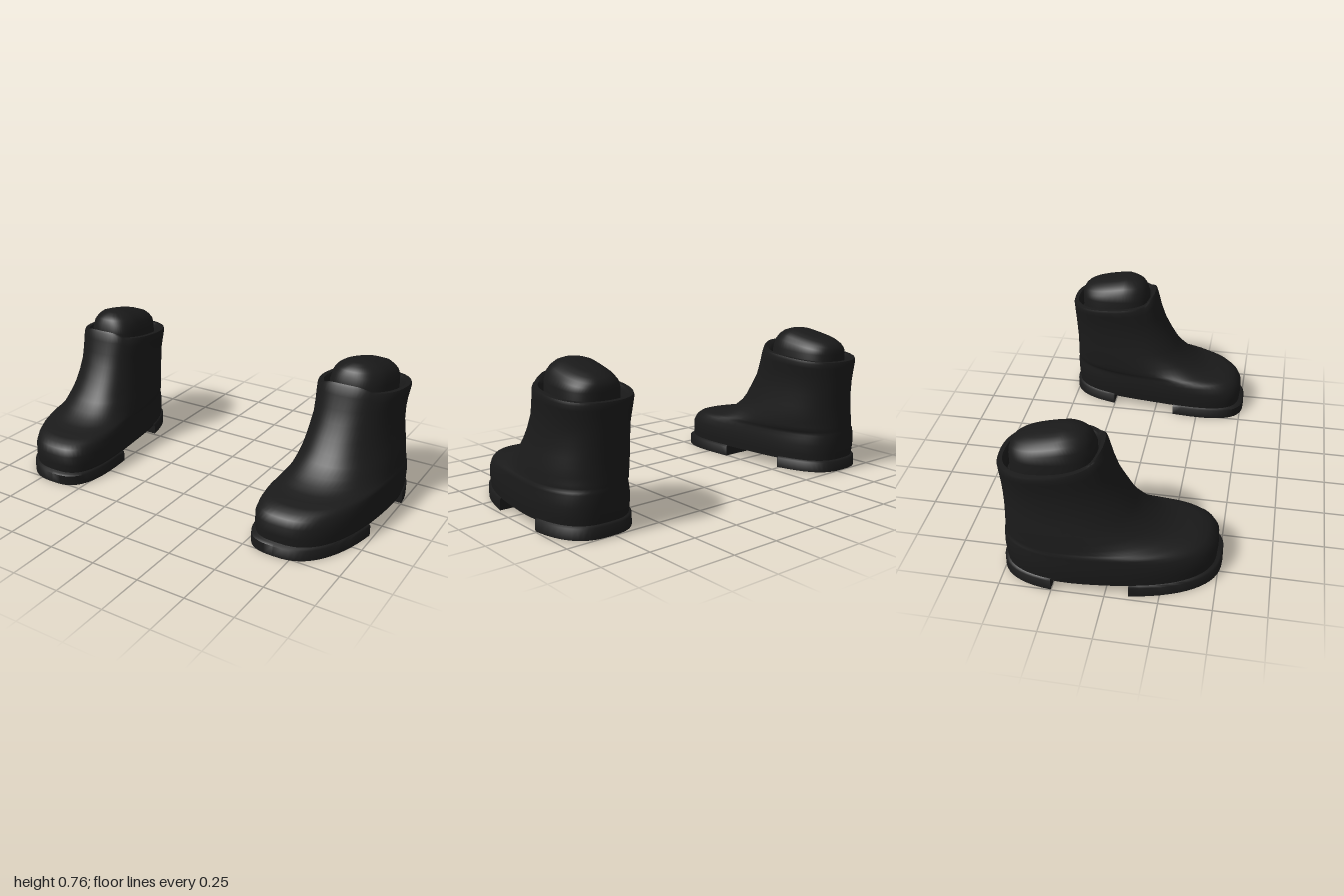
import * as THREE from 'three';
import { toCreasedNormals } from 'three/addons/utils/BufferGeometryUtils.js';

const SEG = 64;
const material = new THREE.MeshStandardMaterial({ color: 0x1a1a1a });

// Curved centre line of the foot, seen from above
const centreX = (z) => 0.75 - 0.11 * z - 0.1 * z * z;
const power = (v, n) => Math.sign(v) * Math.abs(v) ** (2 / n);

// Stacks rounded outlines. Layer: y, front z, back z, half width, squareness, x shift, lift amount
function loft(layers, side, { lift = () => 0, zMin = -9, zMax = 9 } = {}) {
  const pos = [], index = [];
  const tri = (a, b, c) => (side > 0 ? index.push(a, b, c) : index.push(a, c, b));
  const centres = [];
  for (const [y, zf, zb, hw, n, dx = 0, k = 0] of layers) {
    const zc = (zf + zb) / 2, zl = (zf - zb) / 2;
    const widthAt = (z) => hw * (1 - Math.min(1, Math.abs((z - zc) / zl)) ** n) ** (1 / n);
    const sum = new THREE.Vector3();
    for (let j = 0; j < SEG; j++) {
      const t = (j / SEG) * Math.PI * 2;
      const rawZ = zc + zl * power(Math.cos(t), n);
      const z = THREE.MathUtils.clamp(rawZ, zMin, zMax);
      let x = hw * power(Math.sin(t), n);
      // a cut end becomes a straight edge across the outline
      if (z !== rawZ) x = THREE.MathUtils.clamp(x, -widthAt(z), widthAt(z));
      const p = new THREE.Vector3(side * (x + centreX(z) + dx), y + k * lift(z), z);
      sum.add(p);
      pos.push(p.x, p.y, p.z);
    }
    centres.push(sum.divideScalar(SEG));
  }
  const last = (layers.length - 1) * SEG, base = layers.length * SEG;
  for (const c of [centres[0], centres[centres.length - 1]]) pos.push(c.x, c.y, c.z);
  for (let j = 0; j < SEG; j++) {
    const m = (j + 1) % SEG;
    for (let r = 0; r < last; r += SEG) {
      tri(r + j, r + m, r + SEG + m);
      tri(r + j, r + SEG + m, r + SEG + j);
    }
    tri(base, m, j);
    tri(base + 1, last + j, last + m);
  }
  const g = new THREE.BufferGeometry();
  g.setAttribute('position', new THREE.Float32BufferAttribute(pos, 3));
  g.setIndex(index);
  return toCreasedNormals(g, 0.9);
}

// Boot body from the welt, over toe and instep, up to the rim and down inside
const UPPER = [
  [0.057, 0.488, -0.495, 0.235, 2.8],
  [0.1, 0.492, -0.5, 0.24, 2.8],
  [0.15, 0.49, -0.505, 0.24, 2.8],
  [0.185, 0.472, -0.506, 0.237, 2.7],
  [0.205, 0.445, -0.506, 0.235, 2.6],
  [0.216, 0.4, -0.506, 0.234, 2.5],
  [0.224, 0.345, -0.505, 0.233, 2.4, -0.004],
  [0.232, 0.295, -0.505, 0.232, 2.4, -0.006],
  [0.25, 0.24, -0.505, 0.23, 2.3, -0.008],
  [0.28, 0.19, -0.504, 0.226, 2.3, -0.01],
  [0.32, 0.138, -0.503, 0.22, 2.3, -0.013],
  [0.36, 0.106, -0.503, 0.213, 2.3, -0.016],
  [0.42, 0.07, -0.506, 0.204, 2.3, -0.02],
  [0.49, 0.031, -0.51, 0.2, 2.3, -0.021],
  [0.55, 0.003, -0.512, 0.202, 2.4, -0.022, 0.3],
  [0.6, -0.015, -0.514, 0.208, 2.4, -0.022, 0.7],
  [0.632, -0.028, -0.515, 0.211, 2.4, -0.022, 1],
  [0.645, -0.036, -0.511, 0.207, 2.4, -0.022, 1],
  [0.645, -0.055, -0.49, 0.185, 2.4, -0.022, 1],
  [0.63, -0.064, -0.48, 0.175, 2.4, -0.022, 1],
  [0.56, -0.066, -0.475, 0.17, 2.4, -0.022, 0.8],
];
// Rim slopes down to the back and peaks at the front
const rimLift = (z) => 0.09 * (z + 0.1) + 0.03 * THREE.MathUtils.smoothstep(z, -0.085, -0.035);

// Rounded filling inside the collar
const LINER = [
  [0.54, -0.068, -0.46, 0.15, 2.6, -0.02],
  [0.655, -0.07, -0.46, 0.147, 2.6, -0.02, 0.3],
  [0.7, -0.084, -0.458, 0.136, 2.6, -0.02, 0.8],
  [0.725, -0.097, -0.452, 0.118, 2.5, -0.02, 0.95],
  [0.744, -0.119, -0.435, 0.092, 2.4, -0.02, 1],
  [0.755, -0.15, -0.385, 0.058, 2.3, -0.02, 1],
  [0.759, -0.175, -0.33, 0.03, 2.2, -0.02, 1],
];
const linerLift = (z) => 0.2 * Math.min(0, z + 0.2);

// Sole outline with a small rounded top edge
const soleLayers = (bottom, top) => [
  [bottom, 0.515, -0.513, 0.245, 2.8],
  [top - 0.008, 0.515, -0.513, 0.245, 2.8],
  [top, 0.505, -0.505, 0.238, 2.8],
];

function createBoot(side) {
  const boot = new THREE.Group();
  boot.name = side > 0 ? 'leftBoot' : 'rightBoot';
  const add = (name, geometry) => {
    const mesh = new THREE.Mesh(geometry, material);
    mesh.name = name;
    boot.add(mesh);
  };
  add('upper', loft(UPPER, side, { lift: rimLift }));
  add('liner', loft(LINER, side, { lift: linerLift }));
  add('frontSole', loft(soleLayers(0, 0.06), side, { zMin: 0.11 }));
  add('heel', loft(soleLayers(0.007, 0.068), side, { zMax: -0.25 }));
  return boot;
}

export function createModel() {
  const model = new THREE.Group();
  model.name = 'pairOfBoots';
  for (const side of [1, -1]) model.add(createBoot(side));
  return model;
}
